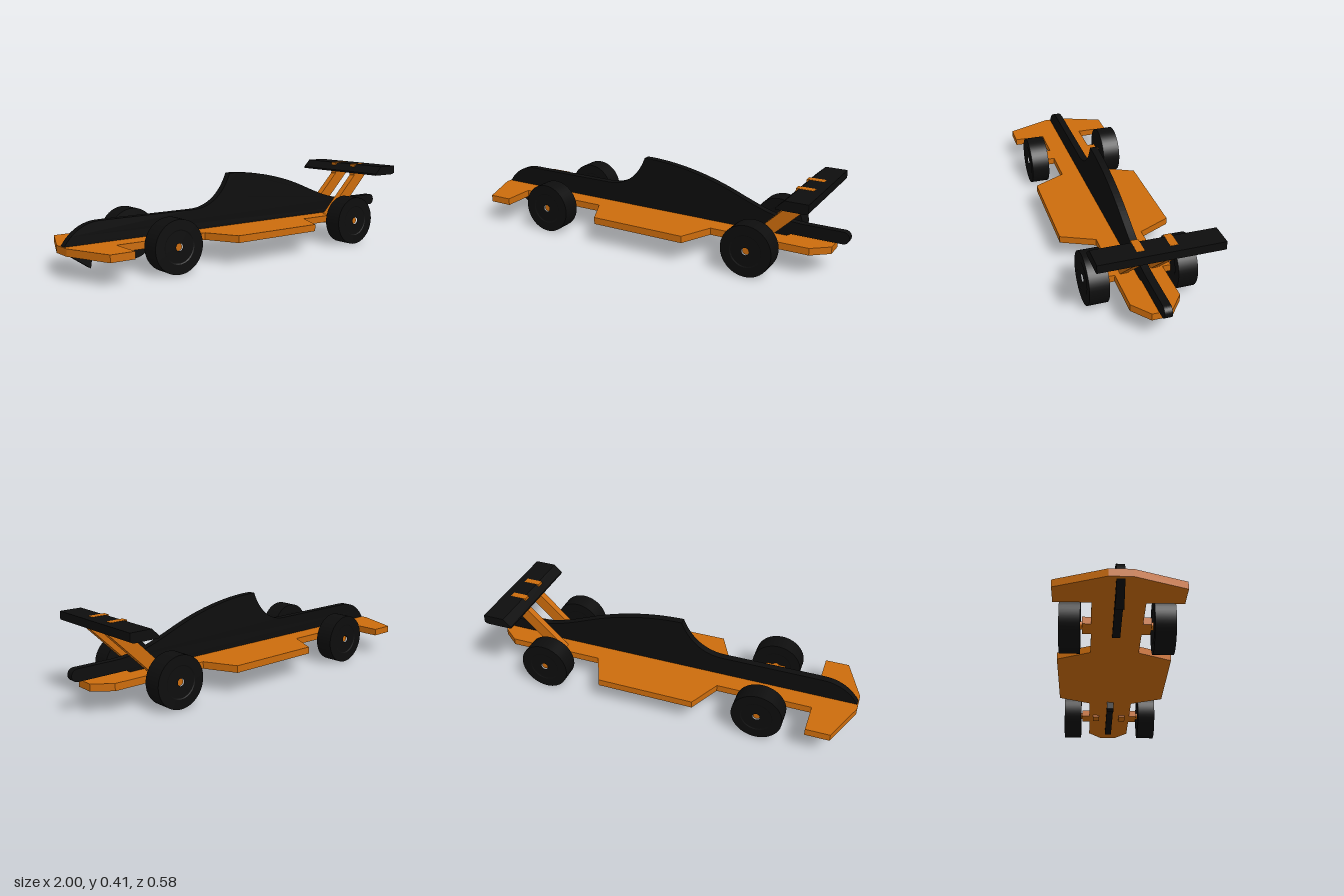
import * as THREE from 'three';

const orange = new THREE.MeshStandardMaterial({ color: 0xcc6c0c });
orange.name = 'orange';
const black = new THREE.MeshStandardMaterial({ color: 0x0d0d0d });
black.name = 'black';

const MID = 0.011; // centre plane of the car body
const HUB_Y = 0.1275;

const polygon = (points) => new THREE.Shape(points.map(([x, y]) => new THREE.Vector2(x, y)));

export function createModel() {
  const car = new THREE.Group();
  car.name = 'raceCar';

  const add = (name, geometry, material, x = 0, y = 0, z = 0) => {
    const mesh = new THREE.Mesh(geometry, material);
    mesh.name = name;
    mesh.position.set(x, y, z);
    car.add(mesh);
    return mesh;
  };

  // Side profile in x and y, cut from a board centred on z
  const board = (name, shape, width, material, z = MID) => {
    const geometry = new THREE.ExtrudeGeometry(shape, { depth: width, bevelEnabled: false, curveSegments: 20 });
    geometry.translate(0, 0, -width / 2);
    return add(name, geometry, material, 0, 0, z);
  };

  // Chassis plate: half outline mirrored about the centre plane
  const half = [
    [-1, 0.05], [-0.91, 0.278], [-0.79, 0.278], [-0.79, 0.115],
    [-0.6, 0.115], [-0.6, 0.155], [-0.5, 0.155], [-0.5, 0.115],
    [-0.31, 0.115], [-0.23, 0.278], [0.27, 0.278], [0.345, 0.115],
    [0.545, 0.115], [0.545, 0.155], [0.635, 0.155], [0.635, 0.115],
    [0.845, 0.115], [0.93, 0.046],
  ];
  const outline = [...half, ...half.map(([x, z]) => [x, -z]).reverse()];
  const plate = new THREE.ExtrudeGeometry(polygon(outline), { depth: 0.035, bevelEnabled: false });
  plate.rotateX(-Math.PI / 2);
  add('chassis', plate, orange, 0, 0.11, MID);

  // Upright centre body with nose, cockpit and engine cover
  const body = new THREE.Shape();
  body.moveTo(-0.995, 0.145);
  body.quadraticCurveTo(-0.93, 0.243, -0.82, 0.246);
  body.lineTo(-0.3, 0.246);
  body.bezierCurveTo(-0.2, 0.25, -0.125, 0.31, -0.085, 0.412);
  body.bezierCurveTo(0.08, 0.412, 0.26, 0.375, 0.42, 0.31);
  body.bezierCurveTo(0.54, 0.262, 0.64, 0.217, 0.78, 0.216);
  body.lineTo(0.97, 0.216);
  body.absarc(0.97, 0.186, 0.03, Math.PI / 2, -Math.PI / 2, true);
  body.lineTo(0.72, 0.156);
  body.lineTo(0.7, 0.145);
  board('centreBody', body, 0.036, black);

  // Keels below the plate
  board('frontKeel', polygon([
    [-0.985, 0.112], [-0.87, 0.033], [-0.86, 0.093], [-0.5, 0.093], [-0.48, 0.112],
  ]), 0.036, black);
  board('rearKeel', polygon([
    [0.325, 0.112], [0.325, 0.074], [0.385, 0.074], [0.385, 0.1],
    [0.5, 0.1], [0.52, 0.093], [0.82, 0.093], [0.85, 0.112],
  ]), 0.036, black);

  // Rear wing and the two sloping struts that pass through it
  board('rearWing', polygon([
    [0.73, 0.365], [0.865, 0.365], [0.88, 0.372], [0.88, 0.412], [0.77, 0.412], [0.73, 0.374],
  ]), 0.571, black, -0.0015);
  for (const [name, side] of [['leftStrut', 1], ['rightStrut', -1]]) {
    board(name, polygon([
      [0.53, 0.1], [0.6, 0.1], [0.6, 0.112], [0.86, 0.365], [0.84, 0.372],
      [0.84, 0.413], [0.755, 0.413], [0.755, 0.35], [0.53, 0.13],
    ]), 0.035, orange, 0.009 + side * 0.074);
  }

  // Wheels with a shallow dished face, on through axles
  const wheelProfile = [
    [0.018, -0.045], [0.075, -0.045], [0.08, -0.047], [0.127, -0.047],
    [0.127, 0.047], [0.08, 0.047], [0.075, 0.045], [0.018, 0.045],
  ];
  // Separate bands keep the edges of the wheel sharp
  for (const [axleName, x] of [['front', -0.55], ['rear', 0.59]]) {
    const axle = new THREE.CylinderGeometry(0.018, 0.018, 0.493, 24);
    axle.rotateX(Math.PI / 2);
    add(axleName + 'Axle', axle, orange, x, HUB_Y, MID);
    for (const [sideName, side] of [['Left', 1], ['Right', -1]]) {
      const wheel = new THREE.Group();
      wheel.name = axleName + sideName + 'Wheel';
      for (let i = 0; i < wheelProfile.length - 1; i++) {
        const band = new THREE.LatheGeometry(
          [wheelProfile[i], wheelProfile[i + 1]].map(([r, h]) => new THREE.Vector2(r, h)), 48);
        band.rotateX(Math.PI / 2);
        const mesh = new THREE.Mesh(band, black);
        mesh.name = 'wheelBand';
        wheel.add(mesh);
      }
      wheel.position.set(x, HUB_Y, MID + side * 0.2095);
      car.add(wheel);
    }
  }

  return car;
}
